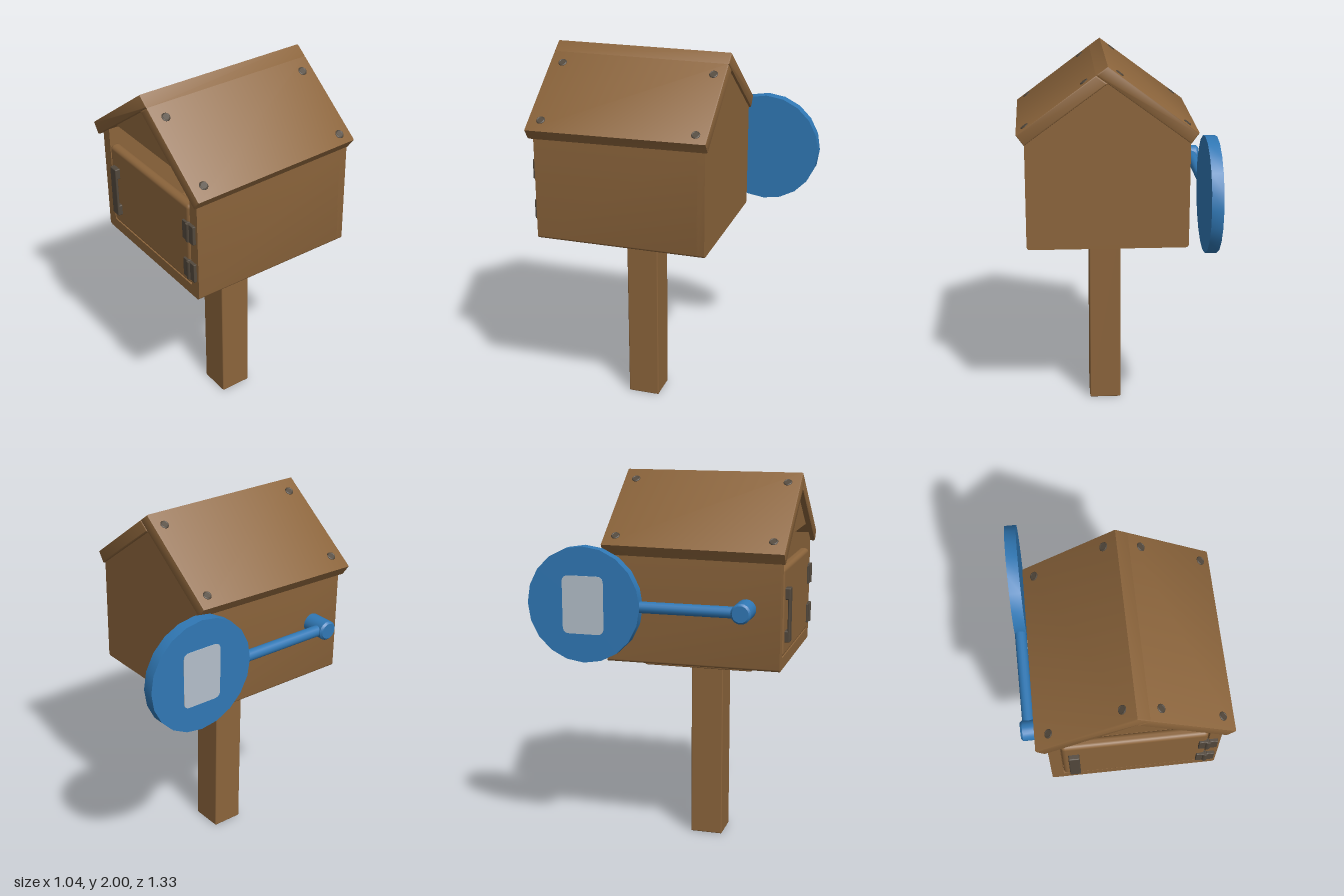
import * as THREE from 'three';
import { toCreasedNormals } from 'three/addons/utils/BufferGeometryUtils.js';
import { RoundedBoxGeometry } from 'three/addons/geometries/RoundedBoxGeometry.js';

const CX = 0.04; // middle of the house
const SLOPE = Math.atan2(0.355, 0.48);

function material(name, color) {
  const m = new THREE.MeshStandardMaterial({ color });
  m.name = name;
  return m;
}

export function createModel() {
  const group = new THREE.Group();
  const wood = material('wood', 0x8b643b);
  const blue = material('blue paint', 0x3078b5);
  const metal = material('dark metal', 0x52483c);
  const pale = material('pale plate', 0xb4bfca);

  function add(name, geometry, mat, x = 0, y = 0, z = 0) {
    const mesh = new THREE.Mesh(geometry, mat);
    mesh.name = name;
    mesh.position.set(x, y, z);
    group.add(mesh);
    return mesh;
  }
  // box given by its limits, with softened edges
  function box(name, mat, [x0, x1], [y0, y1], [z0, z1], r = 0.006) {
    const g = new RoundedBoxGeometry(x1 - x0, y1 - y0, z1 - z0, 2, r);
    return add(name, g, mat, (x0 + x1) / 2, (y0 + y1) / 2, (z0 + z1) / 2);
  }
  // front outline pushed from z0 to z1, with an optional bevel kept inside the limits
  function slab(points, z0, z1, bevel = 0) {
    const shape = points instanceof THREE.Shape
      ? points : new THREE.Shape(points.map(p => new THREE.Vector2(...p)));
    const g = new THREE.ExtrudeGeometry(shape, {
      depth: z1 - z0 - 2 * bevel, bevelEnabled: bevel > 0, bevelThickness: bevel,
      bevelSize: bevel, bevelOffset: -bevel, bevelSegments: 2, curveSegments: 6,
    });
    return toCreasedNormals(g.translate(0, 0, z0 + bevel), 0.6);
  }

  // post and mounting plate
  box('post', wood, [-0.05, 0.125], [0, 1.005], [0.09, 0.265]);
  box('mountingPlate', wood, [-0.25, 0.325], [1, 1.05], [-0.11, 0.465]);

  // floor and side walls, with rounded lower edges
  const r = 0.02, L = -0.385, R = 0.465, B = 1.04;
  const shell = new THREE.Shape();
  shell.moveTo(L, B + r);
  shell.quadraticCurveTo(L, B, L + r, B);
  shell.lineTo(R - r, B);
  shell.quadraticCurveTo(R, B, R, B + r);
  shell.lineTo(R, 1.61);
  shell.lineTo(0.405, 1.65);
  shell.lineTo(0.405, 1.1);
  shell.lineTo(-0.325, 1.1);
  shell.lineTo(-0.325, 1.65);
  shell.lineTo(L, 1.61);
  add('houseShell', slab(shell, -0.24, 0.635), wood);

  const back = new THREE.Shape();
  back.moveTo(L, B + r);
  back.quadraticCurveTo(L, B, L + r, B);
  back.lineTo(R - r, B);
  back.quadraticCurveTo(R, B, R, B + r);
  back.lineTo(R, 1.61);
  back.lineTo(CX, 1.92);
  back.lineTo(L, 1.61);
  add('backWall', slab(back, -0.275, -0.235), wood);
  add('frontGable', slab([[-0.25, 1.7], [0.33, 1.7], [CX, 1.92]], 0.585, 0.63), wood);

  // roof boards, a little narrower towards the back
  function roofBoard(name, points) {
    const g = slab(points, -0.29, 0.66, 0.008);
    const p = g.attributes.position;
    for (let i = 0; i < p.count; i++) {
      const dx = p.getX(i) - CX;
      if (Math.abs(dx) < 0.3) continue;
      const pull = 0.014 * (0.66 - p.getZ(i)) / 0.95;
      p.setX(i, p.getX(i) - Math.sign(dx) * pull);
      p.setY(i, p.getY(i) + pull * Math.tan(SLOPE));
    }
    add(name, g, wood);
  }
  roofBoard('rightRoofBoard', [[-0.44, 1.645], [-0.4, 1.59], [CX, 1.912], [0.1, 1.956], [CX, 2]]);
  roofBoard('leftRoofBoard', [[0.52, 1.645], [0.1, 1.956], [CX, 1.912], [0.48, 1.59]]);

  // roof screws: a rim with a small raised centre
  const rim = new THREE.TorusGeometry(0.018, 0.005, 6, 16).rotateX(Math.PI / 2);
  const head = new THREE.CylinderGeometry(0.017, 0.017, 0.008, 16);
  for (const x of [-0.37, -0.022, 0.158, 0.462]) {
    for (const z of [-0.226, 0.59]) {
      const screw = new THREE.Group();
      screw.name = 'roofScrew';
      const side = Math.sign(x - CX);
      for (const [name, g] of [['screwRim', rim], ['screwHead', head]]) {
        const m = new THREE.Mesh(g, metal);
        m.name = name;
        screw.add(m);
      }
      screw.position.set(x, 2 - Math.abs(x - CX) * Math.tan(SLOPE), z);
      screw.rotation.z = -side * SLOPE;
      group.add(screw);
    }
  }
  add('innerKnob', new THREE.SphereGeometry(0.045, 16, 12), metal, 0.38, 1.64, 0.3);

  // door with a rounded top
  box('door', wood, [-0.322, 0.402], [1.102, 1.56], [0.585, 0.64], 0.022);

  // door handle
  box('handleGrip', metal, [-0.29, -0.235], [1.175, 1.455], [0.653, 0.666]);
  for (const [y0, y1] of [[1.175, 1.235], [1.395, 1.455]]) {
    box('handleFoot', metal, [-0.29, -0.235], [y0, y1], [0.632, 0.664]);
  }

  // hinges
  for (const y of [1.1975, 1.4175]) {
    box('hingeLeaf', metal, [0.357, 0.4], [y - 0.052, y + 0.052], [0.632, 0.651], 0.003);
    box('hingeLeaf', metal, [0.408, 0.45], [y - 0.052, y + 0.052], [0.632, 0.651], 0.003);
    add('hingePin', new THREE.CylinderGeometry(0.016, 0.016, 0.1, 12), metal, 0.403, y, 0.643);
  }

  // signal flag on the side: pivot, arm and disc
  const FY = 1.355, FX = -0.475;
  const pivotProfile = [[0, -0.517], [0.042, -0.517], [0.052, -0.507], [0.052, -0.37], [0, -0.37]]
    .map(([rad, h]) => new THREE.Vector2(rad, h));
  const pivot = toCreasedNormals(new THREE.LatheGeometry(pivotProfile, 20), 0.6);
  add('flagPivot', pivot.rotateZ(-Math.PI / 2), blue, 0, FY, 0.46);
  const arm = new THREE.CylinderGeometry(0.03, 0.03, 0.55, 16).rotateX(Math.PI / 2);
  add('flagArm', arm, blue, FX, FY, 0.175);
  const disc = new THREE.CylinderGeometry(0.3, 0.3, 0.06, 20).rotateZ(Math.PI / 2);
  add('flagDisc', toCreasedNormals(disc, 0.5), blue, FX, FY, -0.36);

  // plain pale plate on the outer face of the disc
  const plate = new THREE.Shape();
  const w = 0.11, h = 0.15, c = 0.035;
  plate.moveTo(-w + c, -h);
  plate.lineTo(w - c, -h);
  plate.quadraticCurveTo(w, -h, w, -h + c);
  plate.lineTo(w, h - c);
  plate.quadraticCurveTo(w, h, w - c, h);
  plate.lineTo(-w + c, h);
  plate.quadraticCurveTo(-w, h, -w, h - c);
  plate.lineTo(-w, -h + c);
  plate.quadraticCurveTo(-w, -h, -w + c, -h);
  const plateGeometry = slab(plate, 0, 0.004).rotateY(-Math.PI / 2);
  add('flagPlate', plateGeometry, pale, -0.504, FY, -0.36);

  return group;
}
